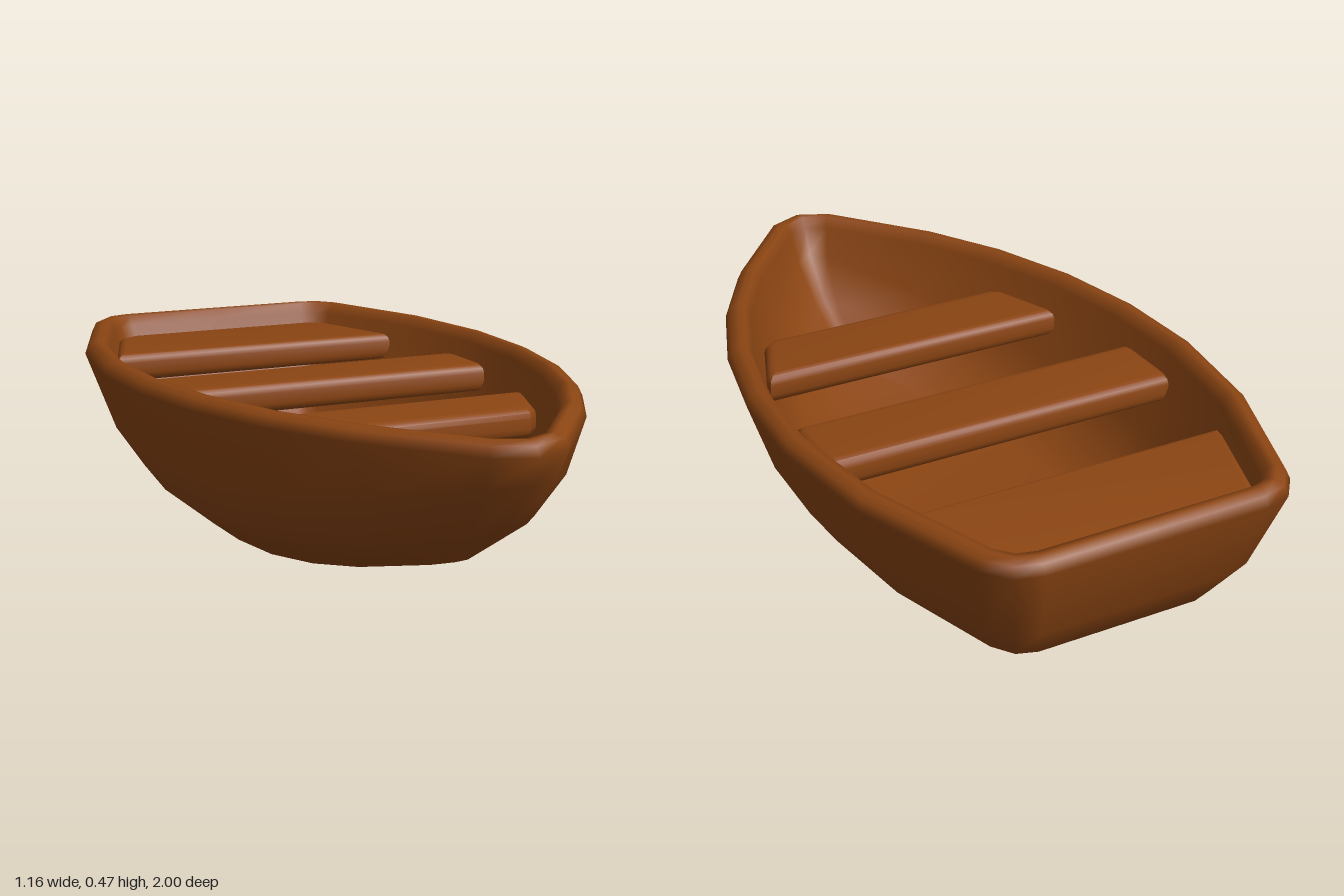
import * as THREE from 'three';
import { toCreasedNormals } from 'three/addons/utils/BufferGeometryUtils.js';

const wood = new THREE.MeshStandardMaterial({ color: 0x8b4513 });

// Gunwale plan from bow to stern middle, as [x, z]; the other side is mirrored
const half = [
  [0, 0.995], [0.1, 0.95], [0.31, 0.69], [0.43, 0.48], [0.52, 0.24], [0.57, -0.01],
  [0.58, -0.27], [0.535, -0.58], [0.41, -0.92], [0.36, -0.98], [0.29, -1], [0, -1],
];
const plan = [...half, ...half.slice(1, -1).reverse().map(([x, z]) => [-x, z])];
const N = plan.length;

// Cross-section rings: half width, bow z, stern z, height, extra height at the bow, inset
const levels = [
  [0.295, 0.62, -0.71, 0, 0.09, 0],
  [0.43, 0.86, -0.855, 0.11, 0.13, 0],
  [0.505, 0.96, -0.93, 0.22, 0.14, 0],
  [0.58, 0.995, -1, 0.43, 0, 0],
  [0.58, 0.995, -1, 0.455, 0, 0.012],
  [0.58, 0.995, -1, 0.465, 0, 0.034],
  [0.58, 0.995, -1, 0.462, 0, 0.052],
  [0.58, 0.995, -1, 0.435, 0, 0.068],
  [0.505, 0.96, -0.93, 0.23, 0.13, 0.06],
  [0.43, 0.86, -0.855, 0.13, 0.12, 0.06],
  [0.295, 0.62, -0.71, 0.05, 0.09, 0.04],
];

// Scales the plan to one level, then moves each point inwards along its mitred normal
function ring([width, bow, stern, y, rise, inset]) {
  const pts = plan.map(([x, z]) => [
    (x * width) / 0.58,
    THREE.MathUtils.mapLinear(z, -1, 0.995, stern, bow),
  ]);
  const normal = (a, b) => new THREE.Vector2(a[1] - b[1], b[0] - a[0]).normalize();
  return pts.map((p, i) => {
    const n1 = normal(pts[(i + N - 1) % N], p);
    const n2 = normal(p, pts[(i + 1) % N]);
    const m = n1.clone().add(n2).multiplyScalar(inset / (1 + n1.dot(n2)));
    let x = p[0] - m.x;
    if (x * p[0] <= 0) x = 0;
    const lift = rise * Math.max(0, p[1] / bow) ** 2;
    return [x, y + lift, p[1] - m.y];
  });
}

// Closed shell: outside, rounded gunwale, inside, plus bottom and floor
function hullGeometry() {
  const position = levels.flatMap(ring).flat();
  const index = [];
  for (let k = 0; k < levels.length - 1; k++) {
    for (let i = 0; i < N; i++) {
      const a = k * N + i, b = k * N + ((i + 1) % N);
      index.push(a, b, b + N, a, b + N, a + N);
    }
  }
  // Strips across the boat, from one side to its mirror
  const cap = (base, up) => {
    for (let i = 0; i < N / 2; i++) {
      const r0 = base + i, r1 = base + i + 1;
      const l0 = base + ((N - i) % N), l1 = base + N - i - 1;
      const tris = [];
      if (i < N / 2 - 1) tris.push([r0, r1, l1]);
      if (i > 0) tris.push([r0, l1, l0]);
      tris.forEach(([a, b, c]) => index.push(...(up ? [a, b, c] : [a, c, b])));
    }
  };
  cap(0, false);
  cap((levels.length - 1) * N, true);
  const g = new THREE.BufferGeometry();
  g.setAttribute('position', new THREE.Float32BufferAttribute(position, 3));
  g.setIndex(index);
  g.computeVertexNormals();
  return g;
}

// Plank with rounded edges from its half plan [x, z]
function seat(name, side, top) {
  const outline = [...side, ...side.slice().reverse().map(([x, z]) => [-x, z])];
  const shape = new THREE.Shape(outline.map(([x, z]) => new THREE.Vector2(x, -z)));
  const bevel = 0.025, depth = 0.03;
  const g = new THREE.ExtrudeGeometry(shape, {
    depth, bevelThickness: bevel, bevelSize: bevel, bevelOffset: -bevel, bevelSegments: 3,
  });
  g.rotateX(-Math.PI / 2);
  g.translate(0, top - depth - bevel, 0);
  const mesh = new THREE.Mesh(toCreasedNormals(g, 0.7), wood);
  mesh.name = name;
  return mesh;
}

export function createModel() {
  const boat = new THREE.Group();
  boat.name = 'rowingBoat';
  const hull = new THREE.Mesh(hullGeometry(), wood);
  hull.name = 'hull';
  boat.add(
    hull,
    seat('sternSeat', [[0.43, -0.61], [0.425, -0.64], [0.34, -0.885], [0.29, -0.915]], 0.41),
    seat('middleSeat', [[0.48, -0.11], [0.49, -0.14], [0.49, -0.29], [0.48, -0.32]], 0.4),
    seat('bowSeat', [[0.34, 0.385], [0.37, 0.36], [0.43, 0.2], [0.43, 0.175]], 0.385),
  );
  return boat;
}
